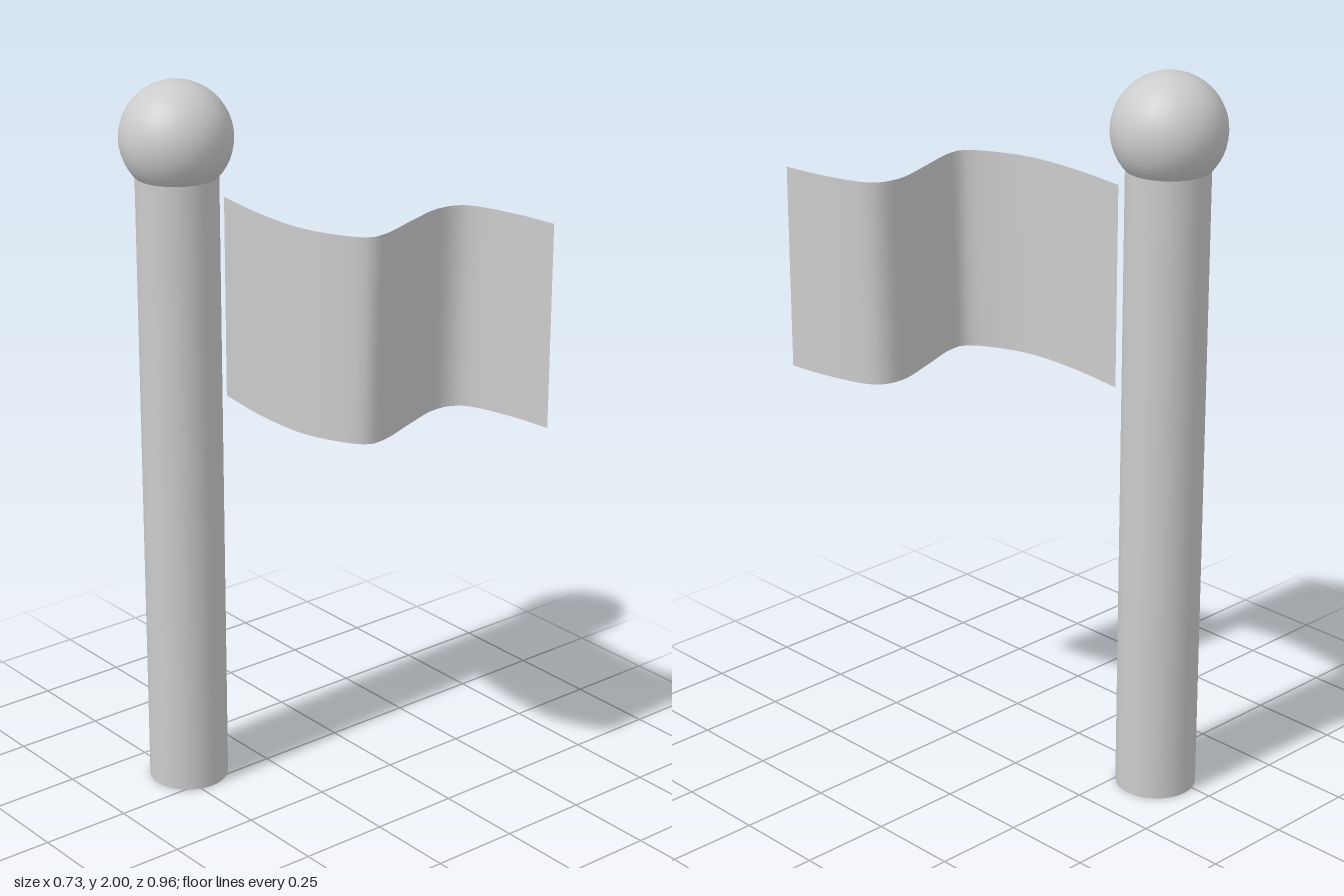
import * as THREE from 'three';

export function createModel() {
  const group = new THREE.Group();
  const material = new THREE.MeshStandardMaterial({ color: 0xcccccc });
  const cloth = new THREE.MeshStandardMaterial({ color: 0xcccccc, side: THREE.DoubleSide });
  const poleX = -0.215, poleZ = -0.332;

  function add(name, geometry, mat, x = 0, y = 0, z = 0) {
    const mesh = new THREE.Mesh(geometry, mat);
    mesh.name = name;
    mesh.position.set(x, y, z);
    group.add(mesh);
  }

  // Upright pole and the ball on top
  add('pole', new THREE.CylinderGeometry(0.11, 0.11, 1.75, 32), material, poleX, 0.875, poleZ);
  add('finial', new THREE.SphereGeometry(0.15, 32, 24), material, poleX, 1.85, poleZ);

  // Waving flag: a thin sheet following an S-shaped path seen from above
  const path = new THREE.SplineCurve([
    [-0.14, -0.23], [-0.16, -0.05], [-0.153, 0.12], [-0.09, 0.26], [-0.025, 0.278],
    [0.1, 0.235], [0.22, 0.198], [0.3, 0.225], [0.342, 0.35], [0.36, 0.48],
  ].map(([x, z]) => new THREE.Vector2(x, z)));
  const sheet = new THREE.PlaneGeometry(1, 0.55, 48, 1);
  const pos = sheet.attributes.position;
  for (let i = 0; i < pos.count; i++) {
    const p = path.getPointAt(THREE.MathUtils.clamp(pos.getX(i) + 0.5, 0, 1));
    pos.setXYZ(i, p.x, pos.getY(i), p.y);
  }
  sheet.computeVertexNormals();
  add('flag', sheet, cloth, 0, 1.425, 0);

  return group;
}
